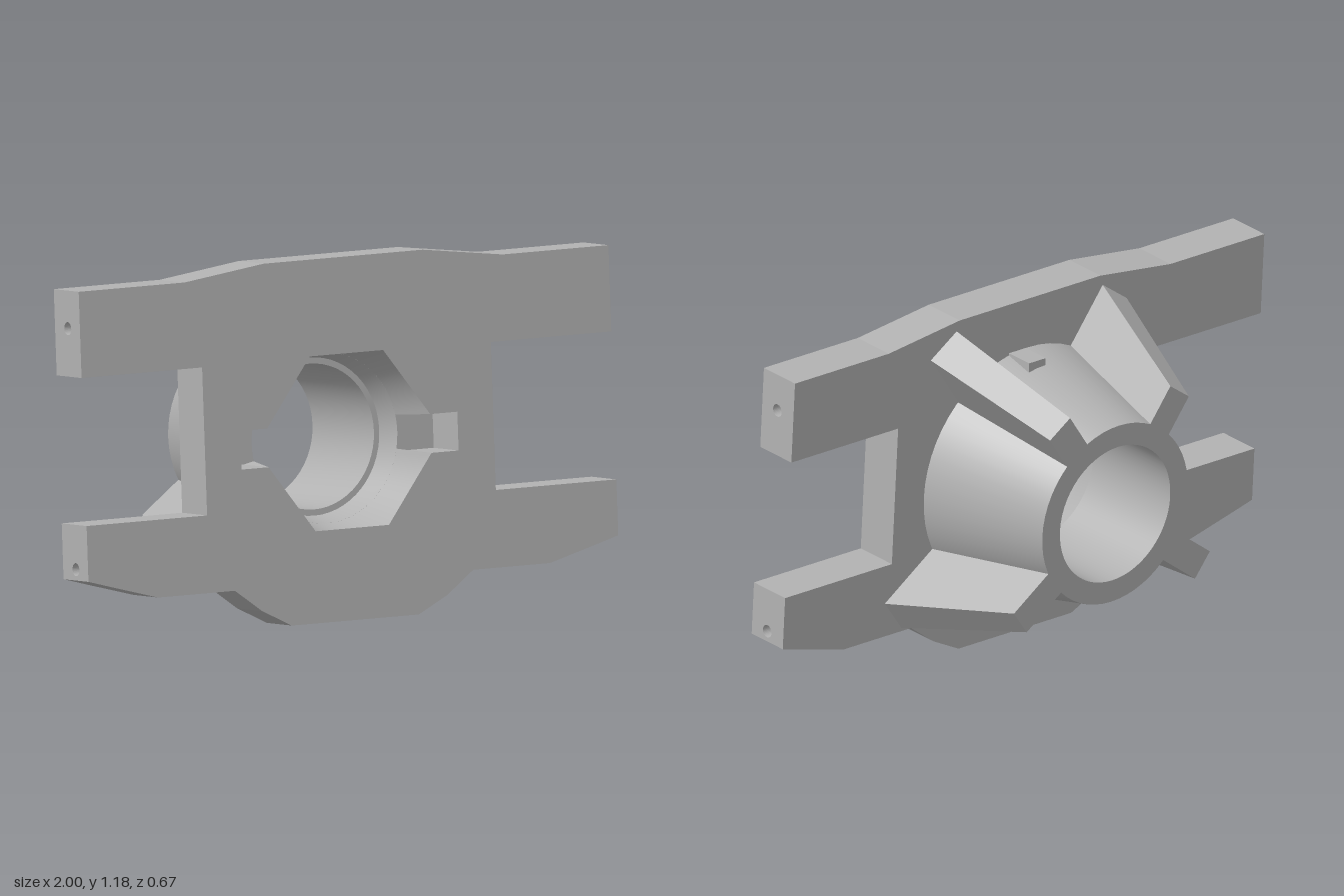
import * as THREE from 'three';
import { toCreasedNormals } from 'three/addons/utils/BufferGeometryUtils.js';

const THICK = 0.152, HUB_Y = 0.578, DEPTH = 0.605, RIM = 0.314, SLOT = 0.0625;
const END = 0.92; // where the drilled arm tips begin

export function createModel() {
  const root = new THREE.Group();
  root.name = 'bearingBracket';
  const metal = new THREE.MeshStandardMaterial({ color: 0xb2b2b2 });
  metal.name = 'castGrey';

  // Everything leans back slightly; local z = 0 is the plate's front face
  const body = new THREE.Group();
  body.name = 'tiltedBody';
  body.rotation.x = -0.064;
  body.position.set(0, 0.012, 0.335);
  root.add(body);

  const add = (name, geo, parent = body) => {
    const mesh = new THREE.Mesh(geo, metal);
    mesh.name = name;
    parent.add(mesh);
    return mesh;
  };

  // Plate outline, right half from top to bottom, then mirrored
  const half = [
    [0.3, 1.171], [0.6, 1.133], [END, 1.133], [END, 0.855], [0.545, 0.855],
    [0.545, 0.378], [END, 0.378], [END, 0.176], [0.74, 0.128], [0.45, 0.128],
    [0.35, 0.055], [0.24, 0],
  ];
  const outline = [...half, ...half.map(([x, y]) => [-x, y]).reverse()];
  const plate = new THREE.Shape(outline.map(([x, y]) => new THREE.Vector2(x, y)));

  // Round opening with a key slot on each side
  const a = Math.asin(SLOT / RIM);
  const opening = new THREE.Path();
  opening.absarc(0, HUB_Y, RIM, a, Math.PI - a, false);
  opening.lineTo(-0.41, HUB_Y + SLOT);
  opening.lineTo(-0.41, HUB_Y - SLOT);
  opening.absarc(0, HUB_Y, RIM, Math.PI + a, 2 * Math.PI - a, false);
  opening.lineTo(0.41, HUB_Y - SLOT);
  opening.lineTo(0.41, HUB_Y + SLOT);
  opening.closePath();
  plate.holes.push(opening);
  const plateGeo = new THREE.ExtrudeGeometry(plate, { depth: THICK, bevelEnabled: false, curveSegments: 24 });
  plateGeo.translate(0, 0, -THICK);
  add('plate', plateGeo);

  // Arm tips with a pin hole drilled in each end
  const tip = (name, side, bottom, top, holeY) => {
    const s = new THREE.Shape();
    s.moveTo(0, bottom);
    s.lineTo(THICK, bottom);
    s.lineTo(THICK, top);
    s.lineTo(0, top);
    s.closePath();
    const hole = new THREE.Path();
    hole.absarc(0.074, holeY, 0.021, 0, Math.PI * 2, true);
    s.holes.push(hole);
    const geo = new THREE.ExtrudeGeometry(s, { depth: 1 - END, bevelEnabled: false, curveSegments: 16 });
    geo.rotateY(Math.PI / 2);
    geo.translate(side > 0 ? END : -1, 0, 0);
    // the lower arm keeps sloping along its underside
    const p = geo.attributes.position;
    for (let i = 0; i < p.count; i++) {
      if (p.getY(i) < 0.2 && Math.abs(p.getX(i)) < 0.99) p.setY(i, 0.176);
    }
    geo.computeVertexNormals();
    add(name, geo);
  };
  for (const side of [1, -1]) {
    const word = side > 0 ? 'left' : 'right';
    tip(word + 'UpperArmTip', side, 0.855, 1.133, 1.01);
    tip(word + 'LowerArmTip', side, 0.198, 0.378, 0.233);
  }

  // Hub, centred on the bore
  const hub = new THREE.Group();
  hub.name = 'hub';
  hub.position.y = HUB_Y;
  body.add(hub);

  // Tapered mouth, split into two arcs by the slots
  for (const start of [0, Math.PI]) {
    const s = new THREE.Shape();
    s.absarc(0, 0, RIM, start + a, start + Math.PI - a, false);
    s.absarc(0, 0, 0.275, start + Math.PI - a, start + a, true);
    s.closePath();
    const geo = new THREE.ExtrudeGeometry(s, { depth: THICK, bevelEnabled: false, curveSegments: 24 });
    geo.translate(0, 0, -THICK);
    const p = geo.attributes.position;
    for (let i = 0; i < p.count; i++) {
      const x = p.getX(i), y = p.getY(i), r = Math.hypot(x, y);
      if (p.getZ(i) > -0.01 && r < 0.3) p.setXY(i, x * RIM / r, y * RIM / r);
    }
    add(start ? 'lowerMouth' : 'upperMouth', toCreasedNormals(geo, 0.5), hub);
  }

  // Conical sleeve with a stepped bore
  const profile = [
    [0.235, -DEPTH], [0.31, -DEPTH], [0.42, -THICK], [0.275, -THICK],
    [0.255, -0.23], [0.235, -0.23], [0.235, -DEPTH],
  ].map(([r, z]) => new THREE.Vector2(r, z));
  const sleeve = new THREE.LatheGeometry(profile, 56);
  sleeve.rotateX(Math.PI / 2);
  add('sleeve', toCreasedNormals(sleeve, 0.4), hub);

  // Tapered stiffening fins: wide and tall at the plate, smaller at the back
  const fin = (name, angle, baseR, backR) => {
    const geo = new THREE.BoxGeometry(1, 1, 1);
    const p = geo.attributes.position;
    for (let i = 0; i < p.count; i++) {
      const front = p.getZ(i) > 0, outer = p.getX(i) > 0;
      const r = front ? (outer ? baseR : 0.34) : (outer ? backR : 0.27);
      p.setXYZ(i, r, p.getY(i) * (front ? 0.13 : 0.1), front ? -0.148 : -DEPTH);
    }
    geo.rotateZ(angle);
    geo.computeVertexNormals();
    add(name, geo, hub);
  };
  const up = 0.96, down = -0.63;
  fin('leftUpperFin', up, 0.637, 0.444);
  fin('rightUpperFin', Math.PI - up, 0.637, 0.444);
  fin('leftLowerFin', down, 0.657, 0.48);
  fin('rightLowerFin', Math.PI - down, 0.657, 0.48);

  // Small lugs on the sleeve above and below
  for (const side of [1, -1]) {
    const geo = new THREE.BoxGeometry(0.07, 0.06, 0.1);
    geo.translate(0.045, side * 0.39, -0.2);
    add(side > 0 ? 'upperLug' : 'lowerLug', geo, hub);
  }
  return root;
}
